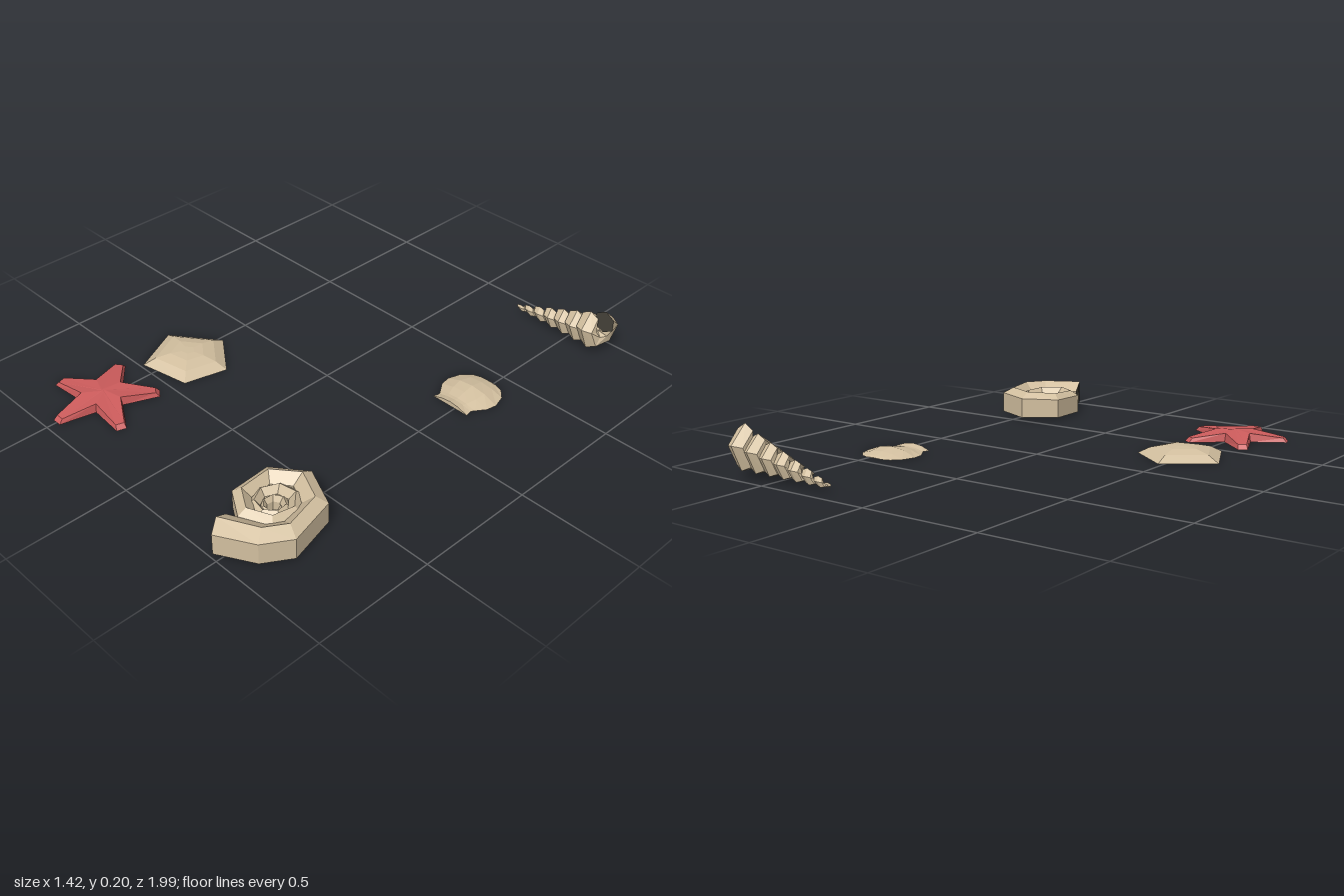
import * as THREE from 'three';

const V = (x, y, z) => new THREE.Vector3(x, y, z);
const lerp = THREE.MathUtils.lerp;
const rad = THREE.MathUtils.degToRad;

const sand = new THREE.MeshStandardMaterial({ color: 0xd2bf9f });
sand.name = 'sandShell';
const red = new THREE.MeshStandardMaterial({ color: 0xcd5c5c });
red.name = 'starfishRed';
const dark = new THREE.MeshStandardMaterial({ color: 0x45423a });
dark.name = 'shellOpening';

// Skin closed rings into a faceted solid; the last cap may take its own colour.
function loft(name, rings, material, endMaterial = material) {
  const tris = [];
  const n = rings[0].length;
  const cap = (ring, flip) => {
    const mid = V(0, 0, 0);
    ring.forEach((p) => mid.addScaledVector(p, 1 / n));
    for (let j = 0; j < n; j++) {
      const a = ring[j], b = ring[(j + 1) % n];
      tris.push(flip ? [mid, b, a] : [mid, a, b]);
    }
  };
  for (let i = 0; i < rings.length - 1; i++) {
    for (let j = 0; j < n; j++) {
      const k = (j + 1) % n;
      const a = rings[i][j], b = rings[i][k], c = rings[i + 1][k], d = rings[i + 1][j];
      tris.push([a, b, c], [a, c, d]);
    }
  }
  cap(rings[0], true);
  const split = tris.length * 3;
  cap(rings[rings.length - 1], false);

  // Turn every face outward
  let volume = 0;
  const cross = V(0, 0, 0);
  const origin = rings[0][0];
  tris.forEach(([a, b, c]) => {
    const u = a.clone().sub(origin), v = b.clone().sub(origin), w = c.clone().sub(origin);
    volume += u.dot(cross.crossVectors(v, w));
  });
  const points = tris.flatMap(([a, b, c]) => (volume < 0 ? [a, c, b] : [a, b, c]));
  const geo = new THREE.BufferGeometry().setFromPoints(points);
  geo.computeVertexNormals();
  geo.addGroup(0, split, 0);
  geo.addGroup(split, n * 3, 1);
  const mesh = new THREE.Mesh(geo, [material, endMaterial]);
  mesh.name = name;
  return mesh;
}

// Five blunt arms, low bevelled edge and a gently raised middle
function starfish() {
  const ring = (scale, inset, tipY, notchY) => {
    const pts = [];
    for (let i = 0; i < 5; i++) {
      const a = (i * Math.PI * 2) / 5;
      const place = (r, side, y) => V(
        (r * Math.sin(a) + side * Math.cos(a)) * scale - 0.5, y,
        (r * Math.cos(a) - side * Math.sin(a)) * scale + 0.735);
      const half = 0.02 - inset * 0.4;
      pts.push(place(0.22 - inset * 2, -half, tipY), place(0.22 - inset * 2, half, tipY));
      const r = 0.092 - inset, h = Math.PI / 5;
      pts.push(place(r * Math.cos(h), r * Math.sin(h), notchY));
    }
    return pts;
  };
  return loft('starfish',
    [ring(1, 0, 0, 0), ring(1, 0.008, 0.018, 0.036), ring(0.05, 0.008, 0.04, 0.04)], red);
}

// Irregular five sided dome
function limpet() {
  const rim = [[-0.67, 0.28], [-0.48, 0.14], [-0.31, 0.265], [-0.355, 0.445], [-0.57, 0.487]];
  const rings = [[1, 0], [0.72, 0.026], [0.4, 0.039], [0.15, 0.042]].map(([s, y]) =>
    rim.map(([x, z]) => V(lerp(-0.477, x, s), y, lerp(0.325, z, s))));
  return loft('limpetShell', rings, sand);
}

// Rounded fan with a narrow neck and flared hinge: [z, half width, height]
function scallop() {
  const sections = [
    [-0.437, 0.04, 0.002], [-0.425, 0.075, 0.009], [-0.39, 0.108, 0.02], [-0.335, 0.125, 0.03],
    [-0.29, 0.117, 0.022], [-0.25, 0.09, 0.013], [-0.235, 0.08, 0.013], [-0.205, 0.087, 0.02],
  ];
  const rings = sections.map(([z, w, h]) =>
    [-1, -0.5, 0, 0.5, 1].map((t) => V(0.475 + w * t, h * (1 - t * t), z)));
  return loft('scallopShell', rings, sand);
}

// Flat coil with a ridged top, shrinking toward its sunken centre
function coiledShell() {
  const turns = [[-264, 0.147], [-210, 0.15], [-145, 0.167], [-91, 0.19], [-36, 0.197],
    [22, 0.229], [53.5, 0.242], [90, 0.275]];
  for (let i = 1; i <= 16; i++) turns.unshift([-264 - 54 * i, 0.147 * 0.914 ** i]);
  const rings = turns.map(([deg, r], i) => {
    const last = i === turns.length - 1;
    const innerDeg = last ? 109 : deg;
    const inner = last ? 0.63 : 0.52;
    const h = Math.min(1, (r / 0.19) ** 0.45);
    const place = (f, y, d) => V(0.47 + r * f * Math.cos(rad(d)), y, 0.715 + r * f * Math.sin(rad(d)));
    return [
      place(1, 0.008, deg), place(1, 0.095 * h, deg),
      place(last ? 0.82 : 0.76, 0.12 * h, (deg + innerDeg) / 2),
      place(inner, 0.082 * h, innerDeg), place(inner, 0.008, innerDeg),
    ];
  });
  return loft('coiledShell', rings, sand, dark);
}

// Long spire: a hexagonal tube wound round a rising axis
function turretShell() {
  const turns = 7, sides = 5, steps = turns * sides;
  const rings = [];
  for (let i = 0; i <= steps; i++) {
    const t = i / steps;
    const f = t ** 1.15;
    const angle = (t - 1) * turns * Math.PI * 2;
    const x = lerp(0.245, 0.665, f), axisY = lerp(0.024, 0.104, f);
    const coil = lerp(0.004, 0.046, f);
    const deep = lerp(0.008, 0.044, f) + (i === steps ? 0.006 : 0);
    const wide = lerp(0.02, 0.048, f);
    const ring = [];
    for (let j = 0; j < 6; j++) {
      const a = (j * Math.PI) / 3;
      const r = coil + deep * Math.cos(a);
      ring.push(V(x + wide * Math.sin(a), axisY + r * Math.cos(angle), -0.92 + r * Math.sin(angle)));
    }
    rings.push(ring);
  }
  return loft('turretShell', rings, sand, dark);
}

export function createModel() {
  const group = new THREE.Group();
  group.name = 'beachShells';
  group.add(starfish(), limpet(), scallop(), coiledShell(), turretShell());
  return group;
}
